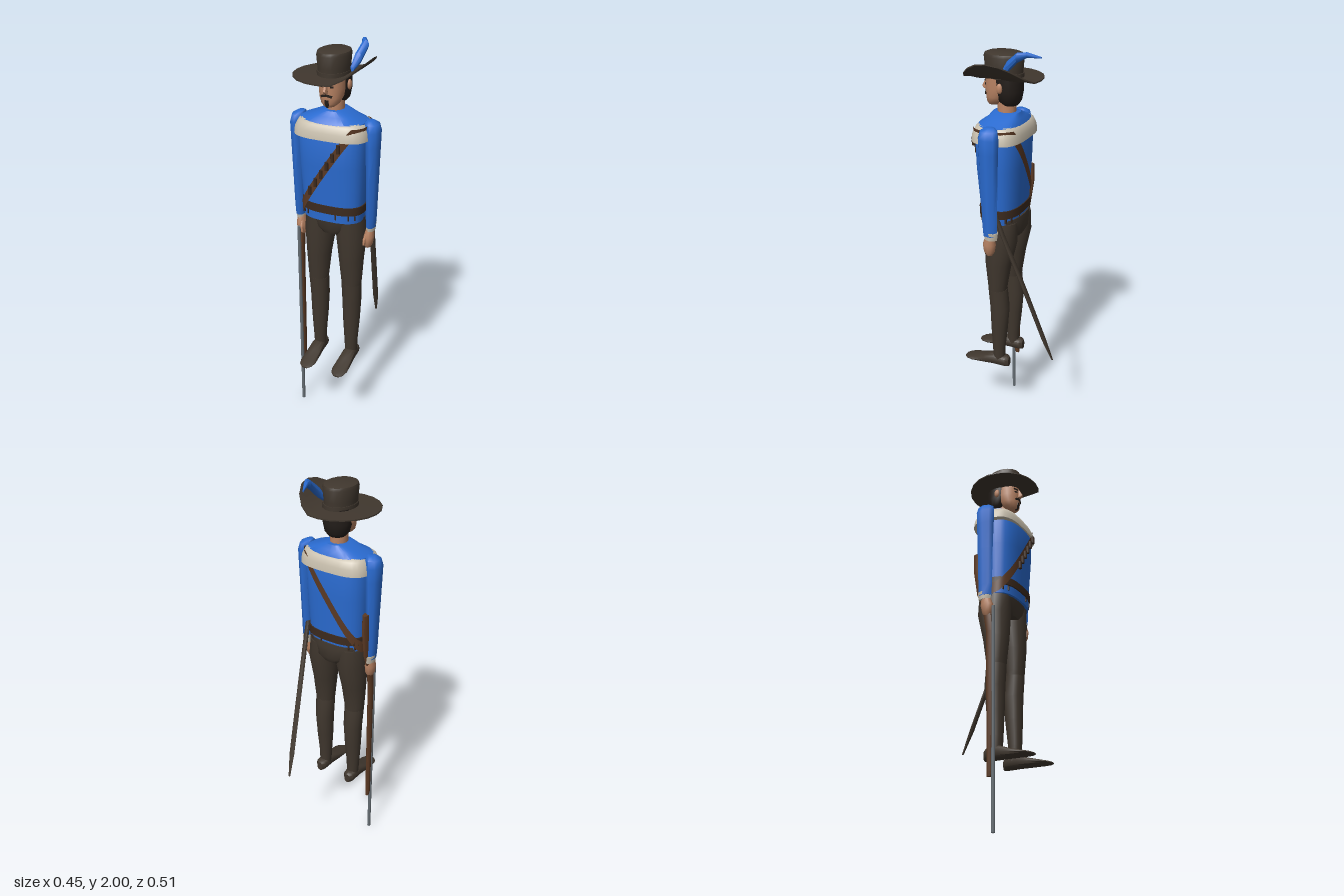
import * as THREE from 'three';
import { toCreasedNormals } from 'three/addons/utils/BufferGeometryUtils.js';

const mat = (name, color, side = THREE.FrontSide) => {
  const m = new THREE.MeshStandardMaterial({ color, side });
  m.name = name;
  return m;
};

// Skin stacked elliptical rings [y, cx, cz, rx, rz]; power > 2 makes them boxier
function loft(rings, n = 12, power = 2) {
  const pos = [], idx = [], last = (rings.length - 1) * n;
  const bend = v => Math.sign(v) * Math.abs(v) ** (2 / power);
  for (const [y, cx, cz, rx, rz] of rings)
    for (let i = 0; i < n; i++) {
      const a = (i / n) * Math.PI * 2;
      pos.push(cx + rx * bend(Math.cos(a)), y, cz + rz * bend(Math.sin(a)));
    }
  const bottom = pos.length / 3, top = bottom + 1;
  for (const r of [rings[0], rings[rings.length - 1]]) pos.push(r[1], r[0], r[2]);
  for (let i = 0; i < n; i++) {
    const j = (i + 1) % n;
    for (let k = 0; k < last; k += n)
      idx.push(k + i, k + n + i, k + j, k + j, k + n + i, k + n + j);
    idx.push(bottom, i, j, top, last + j, last + i);
  }
  const g = new THREE.BufferGeometry();
  g.setAttribute('position', new THREE.Float32BufferAttribute(pos, 3));
  g.setIndex(idx);
  return g;
}
const crease = (g, angle = 0.75) => toCreasedNormals(g, angle);

export function createModel() {
  const model = new THREE.Group();
  model.name = 'swordsman';
  const cloth = mat('dark brown cloth', 0x40372e);
  const blue = mat('blue coat', 0x2a6bd0);
  const cream = mat('cream linen', 0xc9c0ae);
  const skin = mat('skin', 0xba8464);
  const hair = mat('black hair', 0x241e1a);
  const leather = mat('brown leather', 0x5c3a24, THREE.DoubleSide);
  const beltMat = mat('dark leather', 0x3c2a1e);
  const steel = mat('steel', 0x666e74);
  const add = (name, geo, m, x = 0, y = 0, z = 0) => {
    const mesh = new THREE.Mesh(geo, m);
    mesh.name = name;
    mesh.position.set(x, y, z);
    model.add(mesh);
    return mesh;
  };

  // Torso, collar and belt
  add('coat', crease(loft([
    [1.17, 0, 0.058, 0.148, 0.094], [1.25, 0, 0.058, 0.152, 0.096],
    [1.45, 0, 0.06, 0.163, 0.11], [1.6, 0, 0.06, 0.166, 0.115],
    [1.66, 0, 0.057, 0.158, 0.1], [1.68, 0, 0.05, 0.105, 0.078],
    [1.703, 0, 0.046, 0.05, 0.064]], 28, 2.7)), blue);
  add('collar', crease(loft([
    [1.582, 0, 0.058, 0.17, 0.112], [1.586, 0, 0.058, 0.184, 0.123],
    [1.62, 0, 0.058, 0.18, 0.12], [1.65, 0, 0.057, 0.165, 0.108],
    [1.662, 0, 0.057, 0.15, 0.093]], 28, 3.2)), cream);
  add('belt', crease(loft([
    [1.215, 0, 0.058, 0.157, 0.102], [1.255, 0, 0.058, 0.158, 0.102]], 28, 2.7)), beltMat);
  for (const x of [-0.13, -0.105, 0.045, 0.105, 0.13])
    for (const s of [1, -1]) {
      const z = 0.058 + s * 0.095 * (1 - Math.abs(x / 0.15) ** 2.7) ** (1 / 2.7);
      add('coatTab', new THREE.BoxGeometry(0.006, 0.024, 0.008), beltMat, x, 1.2, z);
    }

  // Shoulder strap: a ribbon following the torso from left shoulder to right hip
  const strapY = x => Math.min(1.62, 1.6 + (x - 0.1) * 1.56);
  const pos = [], idx = [], n = 72;
  const e = v => Math.sign(v) * Math.abs(v) ** (2 / 2.7);
  for (let i = 0; i <= n; i++) {
    const a = (i / n) * Math.PI * 2, c = e(Math.cos(a)), s = e(Math.sin(a));
    const yc = strapY(0.16 * c);
    for (const d of [-0.03, 0.03]) {
      const k = (yc + d - 1.2) / 0.4;
      pos.push(c * (0.157 + 0.015 * k), yc + d, 0.059 + s * (0.101 + 0.02 * k));
    }
    if (i < n) idx.push(2 * i, 2 * i + 1, 2 * i + 2, 2 * i + 2, 2 * i + 1, 2 * i + 3);
  }
  const strap = new THREE.BufferGeometry();
  strap.setAttribute('position', new THREE.Float32BufferAttribute(pos, 3));
  strap.setIndex(idx);
  strap.computeVertexNormals();
  add('shoulderStrap', strap, leather);
  for (let i = 0; i < 6; i++) {
    const y = 1.335 + i * 0.045;
    add('powderFlask', new THREE.CylinderGeometry(0.009, 0.009, 0.04, 8), beltMat,
      0.1 + (y - 1.6) / 1.56, y, 0.187);
  }

  // Arms, hands, legs and feet
  for (const s of [1, -1]) {
    const side = s > 0 ? 'left' : 'right';
    add(side + 'Arm', crease(loft([
      [1.14, s * 0.186, 0.052, 0.023, 0.036], [1.2, s * 0.187, 0.053, 0.025, 0.039],
      [1.4, s * 0.189, 0.053, 0.029, 0.044], [1.55, s * 0.189, 0.053, 0.034, 0.049],
      [1.62, s * 0.188, 0.053, 0.037, 0.052], [1.655, s * 0.182, 0.053, 0.034, 0.044],
      [1.67, s * 0.172, 0.053, 0.018, 0.022]], 8), 1.1), blue);
    add(side + 'Cuff', crease(loft([
      [1.12, s * 0.185, 0.05, 0.021, 0.033], [1.16, s * 0.186, 0.049, 0.024, 0.039]], 8)), cream);
    add(side + 'Hand', crease(loft([
      [1.03, s * 0.176, 0.062, 0.012, 0.014], [1.05, s * 0.177, 0.062, 0.023, 0.027],
      [1.09, s * 0.18, 0.06, 0.026, 0.033], [1.14, s * 0.184, 0.054, 0.017, 0.022]], 10), 1), skin);
    add(side + 'Thumb', crease(loft([
      [1.05, s * 0.165, 0.088, 0.007, 0.008], [1.08, s * 0.168, 0.088, 0.009, 0.01],
      [1.11, s * 0.174, 0.074, 0.007, 0.008]], 6), 1), skin);
    add(side + 'Thigh', crease(loft([
      [0.79, s * 0.09, 0.06, 0.049, 0.047], [0.83, s * 0.09, 0.06, 0.053, 0.05],
      [0.95, s * 0.087, 0.057, 0.062, 0.067], [1.08, s * 0.083, 0.045, 0.076, 0.085],
      [1.18, s * 0.08, 0.047, 0.07, 0.085]], 14), 1), cloth);
    add(side + 'Calf', crease(loft([
      [0.37, s * 0.089, 0.056, 0.031, 0.03], [0.45, s * 0.089, 0.058, 0.034, 0.034],
      [0.58, s * 0.089, 0.054, 0.043, 0.044], [0.7, s * 0.089, 0.051, 0.048, 0.051],
      [0.805, s * 0.09, 0.06, 0.051, 0.049]], 14), 1), cloth);
    // Shoe: heel-to-toe rings laid flat, tops falling towards the toe
    const shoe = loft([
      [0.0, 0.016, 0.026], [0.015, 0.03, 0.03], [0.085, 0.034, 0.032], [0.14, 0.039, 0.021],
      [0.205, 0.042, 0.011], [0.235, 0.034, 0.007], [0.253, 0.016, 0.004]
    ].map(([z, rx, ry]) => [z, s * 0.09, -0.342 - ry, rx, ry]), 12, 2.6).rotateX(Math.PI / 2);
    add(side + 'Shoe', crease(shoe), cloth);
  }
  add('hips', crease(loft([
    [1.09, 0, 0.045, 0.07, 0.075], [1.12, 0, 0.044, 0.115, 0.09],
    [1.175, 0, 0.048, 0.146, 0.094], [1.2, 0, 0.05, 0.146, 0.094]], 20, 2.4), 1), cloth);

  // Neck, head and face
  add('neck', crease(loft([
    [1.68, 0, 0.046, 0.042, 0.045], [1.78, 0, 0.048, 0.04, 0.044]], 12)), skin);
  add('head', crease(loft([
    [1.73, 0, 0.11, 0.025, 0.028], [1.745, 0, 0.1, 0.043, 0.045], [1.77, 0, 0.09, 0.054, 0.057],
    [1.81, 0, 0.08, 0.06, 0.07], [1.87, 0, 0.075, 0.06, 0.074]], 16), 1.2), skin);
  add('hair', crease(loft([
    [1.735, 0, 0.028, 0.04, 0.036], [1.755, 0, 0.03, 0.06, 0.052],
    [1.8, 0, 0.033, 0.07, 0.064], [1.87, 0, 0.04, 0.071, 0.073]], 16), 1.2), hair);
  add('nose', crease(loft([
    [1.798, 0, 0.152, 0.012, 0.012], [1.808, 0, 0.156, 0.011, 0.017],
    [1.845, 0, 0.148, 0.005, 0.006]], 6)), skin);
  add('goatee', crease(loft([
    [1.728, 0, 0.132, 0.006, 0.008], [1.745, 0, 0.136, 0.014, 0.012],
    [1.765, 0, 0.142, 0.01, 0.008]], 8)), hair);
  for (const s of [1, -1]) {
    add('moustache', new THREE.BoxGeometry(0.028, 0.01, 0.009), hair, s * 0.013, 1.784, 0.146)
      .rotation.set(0, s * 0.3, -s * 0.3);
    add('eye', new THREE.BoxGeometry(0.015, 0.007, 0.006), hair, s * 0.024, 1.825, 0.143)
      .rotation.y = s * 0.4;
    add('eyebrow', new THREE.BoxGeometry(0.024, 0.005, 0.008), hair, s * 0.025, 1.841, 0.144)
      .rotation.set(0, s * 0.4, s * 0.15);
    add('ear', new THREE.SphereGeometry(1, 8, 6), skin, s * 0.07, 1.82, 0.052)
      .scale.set(0.01, 0.024, 0.015);
  }

  // Hat with the brim swept up on the left side
  const brim = loft([
    [1.857, 0.05], [1.857, 0.09], [1.857, 0.12], [1.857, 0.155], [1.857, 0.186],
    [1.863, 0.186], [1.864, 0.155], [1.865, 0.12], [1.866, 0.09], [1.866, 0.05]
  ].map(([y, r]) => [y, 0, 0.062, r, r]), 20);
  const p = brim.attributes.position;
  for (let i = 0; i < p.count; i++) {
    const k = Math.max(0, (p.getX(i) - 0.06) / 0.125);
    p.setY(i, p.getY(i) + 0.09 * k ** 1.4);
  }
  add('hatBrim', crease(brim), cloth);
  add('hatCrown', crease(loft([
    [1.86, 0, 0.06, 0.07, 0.09], [1.9, 0, 0.06, 0.071, 0.091], [1.955, 0, 0.06, 0.076, 0.096],
    [1.968, 0, 0.06, 0.072, 0.091], [1.974, 0, 0.06, 0.058, 0.075]], 20), 0.6), cloth);
  add('hatBand', crease(loft([
    [1.862, 0, 0.06, 0.074, 0.095], [1.884, 0, 0.06, 0.074, 0.095]], 20)), cloth);
  add('feather', crease(loft([
    [-0.04, 0.075, 1.885, 0.01, 0.012], [-0.005, 0.088, 1.925, 0.019, 0.027],
    [0.05, 0.1, 1.975, 0.018, 0.022], [0.09, 0.08, 1.986, 0.013, 0.012],
    [0.145, 0.055, 1.974, 0.003, 0.004]], 8).rotateX(-Math.PI / 2)), blue);

  // Sheathed sword at the left hip
  add('scabbard', crease(loft([
    [0.463, 0.106, -0.25, 0.005, 0.004], [0.58, 0.118, -0.207, 0.015, 0.009],
    [0.85, 0.14, -0.112, 0.015, 0.01], [1.15, 0.167, -0.002, 0.013, 0.011],
    [1.245, 0.172, 0.03, 0.012, 0.012]], 8)), cloth);

  // Long gun held muzzle down in the right hand
  add('gunBarrel', new THREE.CylinderGeometry(0.009, 0.009, 1.08, 8), steel, -0.18, 0.54, 0.096);
  add('gunStock', crease(loft([
    [0.245, -0.177, 0.073, 0.008, 0.01], [0.27, -0.177, 0.076, 0.011, 0.014],
    [0.95, -0.177, 0.073, 0.012, 0.017], [1.08, -0.178, 0.058, 0.013, 0.022],
    [1.16, -0.179, 0.03, 0.013, 0.025], [1.3, -0.18, 0.018, 0.015, 0.034],
    [1.39, -0.18, 0.016, 0.014, 0.032]], 10, 2.6)), leather);
  return model;
}
